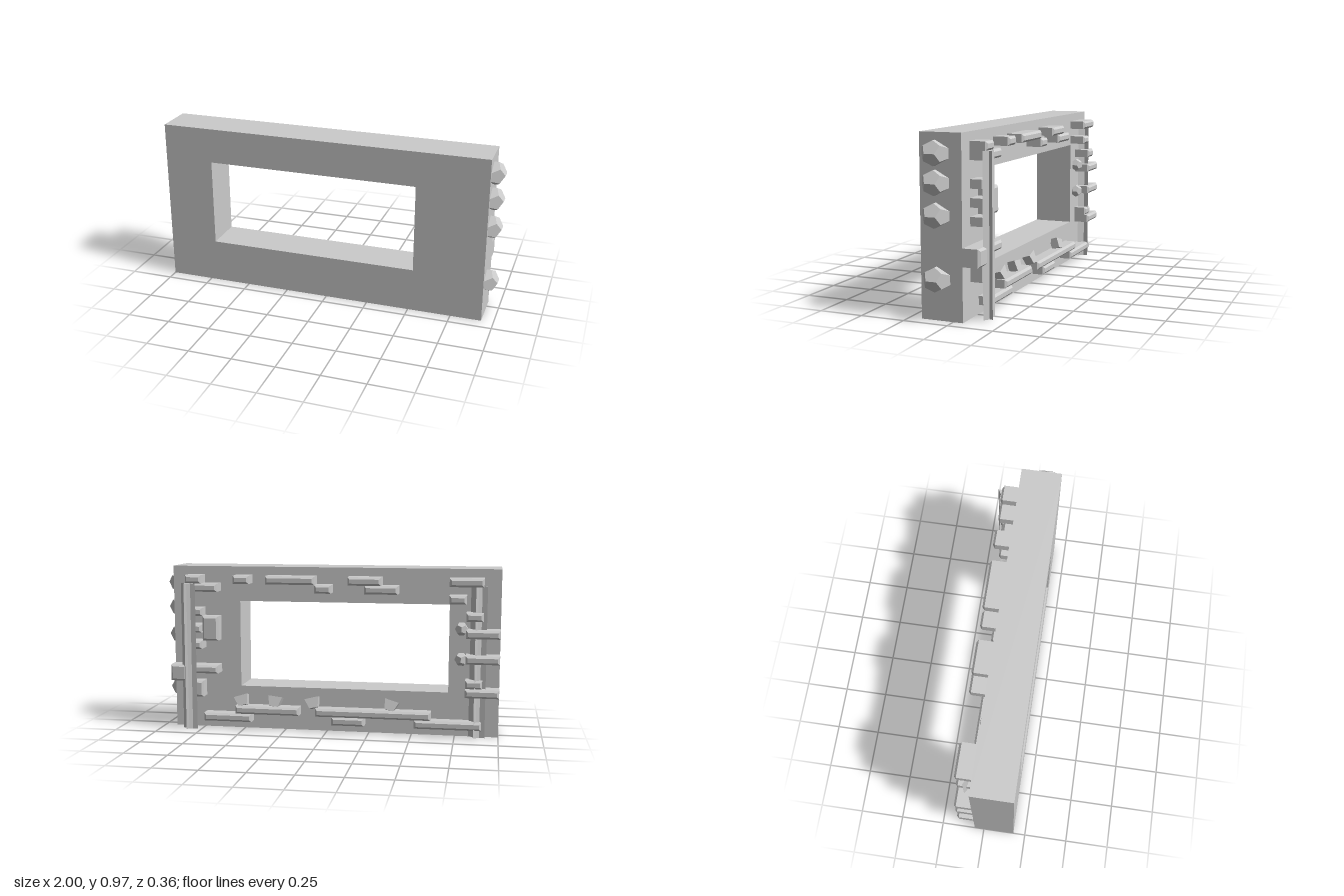
import * as THREE from 'three';

export function createModel() {
  const root = new THREE.Group();
  const mat = new THREE.MeshStandardMaterial({ color: 0xcccccc, flatShading: true });
  const BACK = -0.055, CW = 0.0965, RH = 0.0485;

  const add = (geo, name, x = 0, y = 0, z = 0, parent = root) => {
    const m = new THREE.Mesh(geo, mat);
    m.name = name;
    m.position.set(x, y, z);
    parent.add(m);
    return m;
  };
  const group = (name) => {
    const g = new THREE.Group();
    g.name = name;
    root.add(g);
    return g;
  };
  const rect = (T, x0, y0, x1, y1) => new T([
    new THREE.Vector2(x0, y0), new THREE.Vector2(x1, y0),
    new THREE.Vector2(x1, y1), new THREE.Vector2(x0, y1)]);

  // Thick wall with an off-centre window opening
  const wall = rect(THREE.Shape, -1, 0, 0.93, 0.97);
  wall.holes.push(rect(THREE.Path, -0.71, 0.255, 0.523, 0.766));
  add(new THREE.ExtrudeGeometry(wall, { depth: 0.235, bevelEnabled: false }), 'wall', 0, 0, BACK);

  // Faceted studs, half sunk into the left end
  const studs = group('studs');
  for (const y of [0.865, 0.715, 0.548, 0.218]) {
    const s = add(new THREE.DodecahedronGeometry(1, 0), 'stud', 0.93, y, 0.09, studs);
    s.scale.set(0.074, 0.07, 0.081);
  }

  // Bricks on the back: a box whose outer face is chamfered all round
  function brickGeometry(w, h, d) {
    const c = 0.012, g = new THREE.BoxGeometry(w, h, d, 1, 1, 2), p = g.attributes.position;
    for (let i = 0; i < p.count; i++) {
      const z = p.getZ(i);
      if (Math.abs(z) < 1e-6) p.setZ(i, -d / 2 + c);
      else if (z < 0) {
        p.setX(i, p.getX(i) - Math.sign(p.getX(i)) * c);
        p.setY(i, p.getY(i) - Math.sign(p.getY(i)) * c);
      }
    }
    return g;
  }
  // Cells: first column, last column, first row, row count, back z.
  // Columns run from the left end (+x), rows from the top.
  const bricks = group('bricks');
  const DEEP = -0.152, LOW = -0.132;
  const cells = [
    // upper edge
    [1, 2, 1, 1, DEEP], [1, 3, 2, 1, DEEP], [4, 5, 1, 1, DEEP], [6, 9, 1, 1, DEEP],
    [9, 10, 2, 1, DEEP], [11, 13, 1, 1, DEEP], [12, 14, 2, 1, DEEP],
    [17, 19, 1, 1, DEEP], [17, 18, 3, 1, DEEP],
    // left column
    [1, 2, 5, 1, LOW], [2, 3, 6, 3, LOW], [1, 2, 7, 1, DEEP], [1, 2, 9, 1, DEEP],
    [0, 1, 12, 2, DEEP], [1, 3, 12, 1, DEEP], [1, 2, 14, 2, LOW],
    // right column
    [18, 19, 5, 1, DEEP], [18, 20, 7, 1, DEEP], [18, 20, 10, 1, DEEP],
    [18, 20, 14, 1, DEEP], [18, 19, 13, 1, LOW],
    // lower edge
    [2, 5, 18, 1, LOW], [4, 8, 17, 1, LOW], [9, 16, 17, 1, LOW],
    [10, 12, 18, 1, LOW], [15, 19, 18, 1, LOW],
  ];
  for (const [c0, c1, r, n, zb] of cells) {
    const w = (c1 - c0) * CW, h = n * RH, d = BACK - zb;
    add(brickGeometry(w, h, d), 'brick', 0.93 - (c0 + c1) / 2 * CW,
      0.97 - (r + n / 2) * RH, (BACK + zb) / 2, bricks);
  }

  // Two ragged upright vines, thin star sections
  const section = [[-0.048, 0.004], [-0.018, 0.001], [0.002, 0.011], [0.016, 0.02],
    [0.014, 0.002], [0.045, -0.02], [0.008, -0.01], [-0.016, -0.009]];
  const vineShape = new THREE.Shape(section.map(([x, y]) => new THREE.Vector2(x, y)));
  const vineGeo = new THREE.ExtrudeGeometry(vineShape, { depth: 0.87, bevelEnabled: false });
  vineGeo.rotateX(-Math.PI / 2);
  add(vineGeo, 'leftVine', 0.815, 0.005, -0.157);
  const rightVine = add(vineGeo, 'rightVine', -0.875, 0.005, -0.1);
  rightVine.scale.z = 1.5;

  // Broken chunks resting on the lower bricks, tapered toward the wall
  const rubble = group('rubble');
  const chunkGeo = new THREE.BoxGeometry(0.085, 0.06, 0.05);
  const cp = chunkGeo.attributes.position;
  for (let i = 0; i < cp.count; i++) {
    if (cp.getY(i) < 0) cp.setX(i, cp.getX(i) * 0.6);
  }
  [[0.51, -0.3], [0.31, 0.12], [0.08, -0.25], [-0.38, 0.3]].forEach(([x, tilt]) => {
    add(chunkGeo, 'chunk', x, 0.17, -0.082, rubble).rotation.set(0.3, 0, tilt);
  });

  // Small stones beside the right column
  for (const y of [0.63, 0.455]) {
    add(new THREE.DodecahedronGeometry(0.04, 0), 'stone', -0.78, y, -0.075, rubble);
  }
  return root;
}
